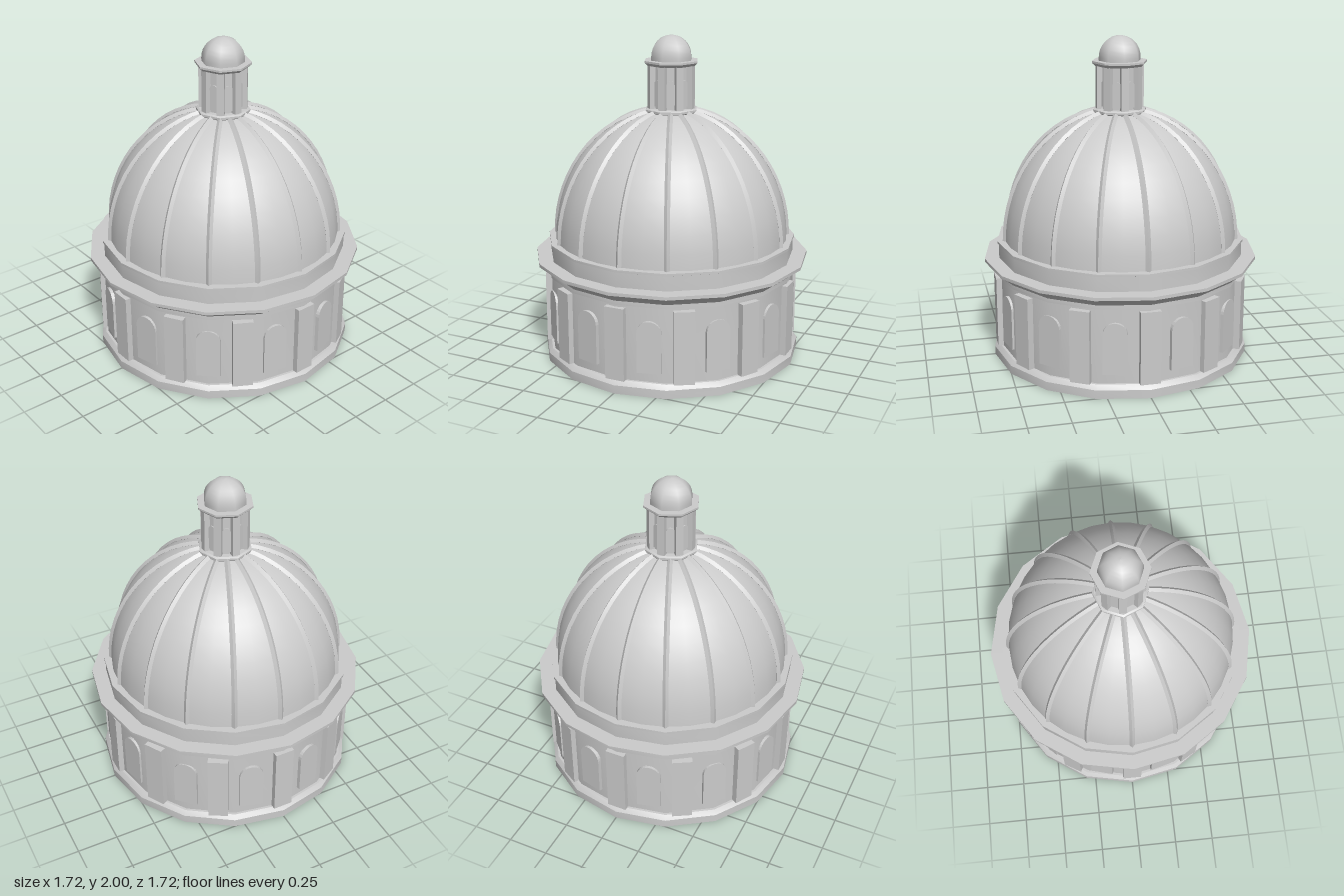
import * as THREE from 'three';
import { toCreasedNormals } from 'three/addons/utils/BufferGeometryUtils.js';

const material = new THREE.MeshStandardMaterial({ color: 0xcccccc });

function add(parent, name, geometry) {
  const mesh = new THREE.Mesh(geometry, material);
  mesh.name = name;
  parent.add(mesh);
  return mesh;
}

// Turned part from [radius, height] pairs listed bottom to top
function turned(parent, name, profile, sides, crease = 0.5) {
  const points = profile.map(([r, y]) => new THREE.Vector2(r, y));
  const lathe = new THREE.LatheGeometry(points, sides);
  return add(parent, name, crease ? toCreasedNormals(lathe, crease) : lathe);
}

// Copies of one geometry around the vertical axis
function ring(parent, name, geometry, count, offset = 0) {
  const group = new THREE.Group();
  group.name = name + 's';
  for (let i = 0; i < count; i++) {
    add(group, name, geometry).rotation.y = ((i + offset) / count) * Math.PI * 2;
  }
  parent.add(group);
}

// Flat round-headed panel facing +z, with its face at the given radius
function archPanel(width, bottom, top, radius, depth) {
  const h = width / 2;
  const shape = new THREE.Shape();
  shape.moveTo(-h, bottom);
  shape.lineTo(h, bottom);
  shape.lineTo(h, top - h);
  shape.absarc(0, top - h, h, 0, Math.PI, false);
  shape.closePath();
  const geometry = new THREE.ExtrudeGeometry(shape, { depth, bevelEnabled: false, curveSegments: 6 });
  return geometry.translate(0, 0, radius - depth);
}

// Upright box facing +z, with its face at the given radius
function pier(width, bottom, top, radius, depth) {
  return new THREE.BoxGeometry(width, top - bottom, depth)
    .translate(0, (top + bottom) / 2, radius - depth / 2);
}

// Quarter-ellipse profile for the main dome
const DOME_BASE = 0.74;
function domePoint(radius, height, t) {
  return [radius * Math.cos(t), DOME_BASE + height * Math.sin(t)];
}

export function createModel() {
  const model = new THREE.Group();
  model.name = 'domedRotunda';

  // Drum and its mouldings
  turned(model, 'base', [[0, 0], [0.813, 0], [0.813, 0.053], [0.79, 0.08], [0, 0.08]], 16);
  turned(model, 'drum', [[0.775, 0.07], [0.775, 0.56]], 16);
  turned(model, 'cornice', [
    [0, 0.545], [0.785, 0.545], [0.785, 0.57], [0.8, 0.585],
    [0.845, 0.62], [0.858, 0.625], [0.858, 0.645], [0, 0.645],
  ], 16);
  turned(model, 'attic', [
    [0.768, 0.64], [0.768, 0.735], [0.776, 0.738], [0.776, 0.752], [0, 0.752],
  ], 16);
  ring(model, 'pilaster', pier(0.122, 0.08, 0.53, 0.798, 0.06), 12);
  ring(model, 'window', archPanel(0.146, 0.14, 0.46, 0.78, 0.04), 12, 0.5);

  // Main dome
  const domeProfile = [];
  for (let i = 0; i <= 12; i++) {
    domeProfile.push(domePoint(0.728, 0.815, (i / 12) * Math.PI / 2));
  }
  turned(model, 'dome', domeProfile, 32, 0);

  // Diamond-section ribs following the dome
  const ribPoints = [];
  for (let i = 0; i <= 10; i++) {
    const [r, y] = domePoint(0.727, 0.815, (i / 10) * 1.4);
    ribPoints.push(new THREE.Vector3(r, y, 0));
  }
  const ribPath = new THREE.CatmullRomCurve3(ribPoints);
  const rib = toCreasedNormals(new THREE.TubeGeometry(ribPath, 14, 0.017, 4), 0.6);
  ring(model, 'rib', rib, 16);

  // Lantern
  const lantern = new THREE.Group();
  lantern.name = 'lantern';
  model.add(lantern);
  turned(lantern, 'lanternBase', [
    [0, 1.525], [0.155, 1.525], [0.167, 1.54], [0.167, 1.553], [0.155, 1.56], [0, 1.56],
  ], 8);
  turned(lantern, 'lanternCore', [[0.12, 1.55], [0.12, 1.83]], 8);
  ring(lantern, 'lanternColumn', pier(0.045, 1.555, 1.825, 0.146, 0.045), 8);
  ring(lantern, 'lanternWindow', archPanel(0.05, 1.575, 1.735, 0.118, 0.015), 8, 0.5);
  turned(lantern, 'lanternCornice', [
    [0, 1.82], [0.152, 1.82], [0.172, 1.838], [0.172, 1.85], [0, 1.85],
  ], 8);

  // Cupola cap
  const cupolaProfile = [[0.13, 1.845]];
  for (let i = 0; i <= 8; i++) {
    const t = (i / 8) * Math.PI / 2;
    cupolaProfile.push([0.13 * Math.cos(t), 1.87 + 0.13 * Math.sin(t)]);
  }
  turned(lantern, 'cupola', cupolaProfile, 8, 0);

  return model;
}
